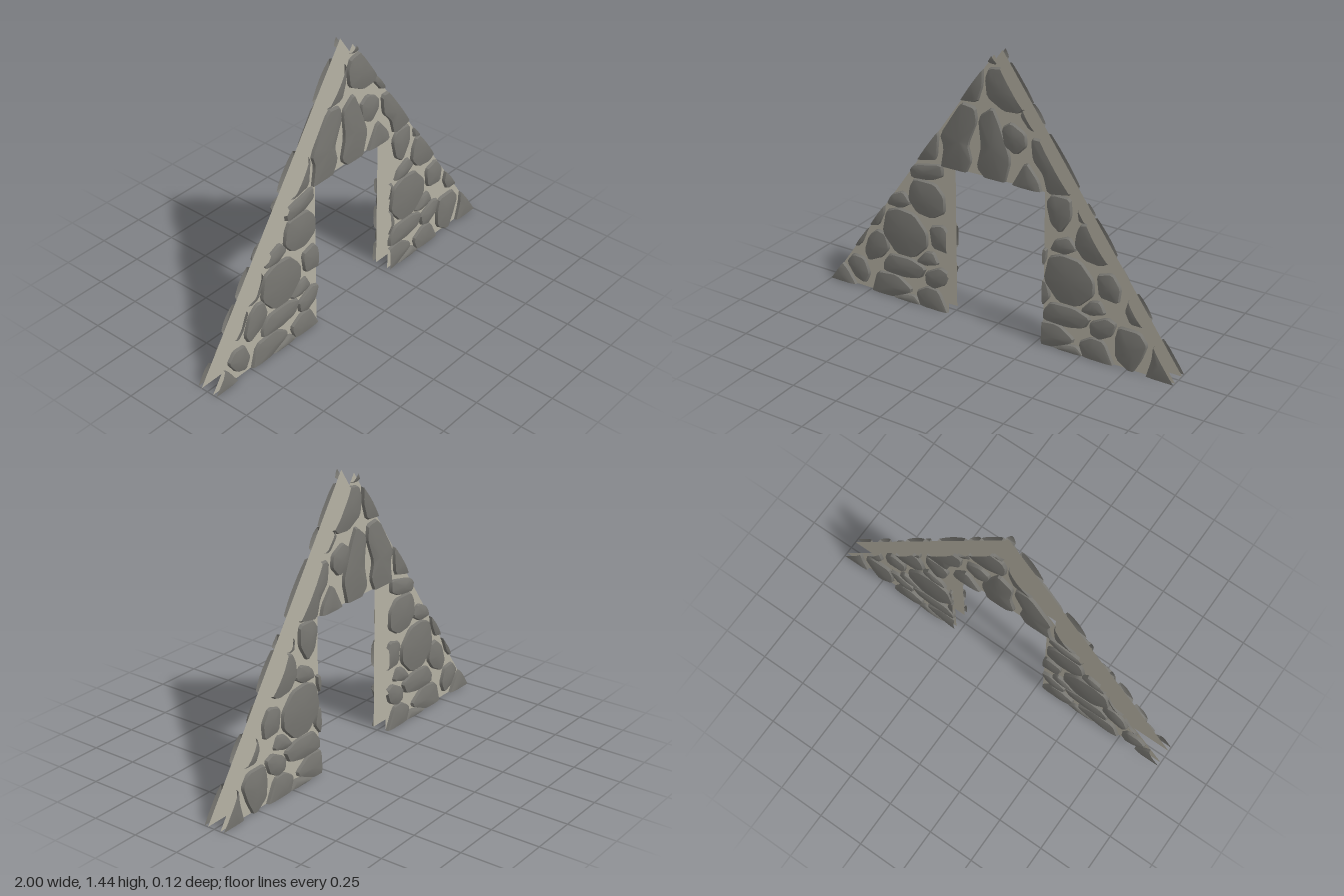
import * as THREE from 'three';
import { toCreasedNormals } from 'three/addons/utils/BufferGeometryUtils.js';

// Plan grid: the wall is 373 grid units wide and 268 high, x from its right corner, y from the ground
const W = 373, H = 268, U = 2 / W;
const DOOR = { x0: 136, x1: 239, top: 151 };
const REPEAT = 177; // the leg stonework repeats at this spacing
const SHEET_Z = 0.037;

const mortar = new THREE.MeshStandardMaterial({ color: 0xb5b1a3, side: THREE.DoubleSide });
mortar.name = 'mortar';
const stone = new THREE.MeshStandardMaterial({ color: 0x777671, side: THREE.DoubleSide });
stone.name = 'stone';

// Stone outlines as x, y pairs
const lowStones = [
  [62, 34, 70, 45, 95, 46, 112, 40, 106, 28, 88, 24, 62, 25],
  [110, 36, 128, 46, 138, 42, 133, 28, 121, 21, 111, 24],
  [46, -6, 54, 22, 78, 25, 95, 14, 94, 9, 68, -3],
  [106, -6, 99, 13, 113, 22, 126, 21, 139, -6],
  [70, -2, 82, 5, 98, 8, 108, -2],
  [18, 23, 26, 33, 40, 32, 46, 16, 40, 4, 28, 8],
  [-12, -8, 4, 27, 19, 15, 34, -8],
  [136, 28, 139, 41, 161, 41, 169, 30, 163, 13, 154, -4, 137, 8],
  [166, -8, 173, 18, 174, 32, 182, 32, 210, -8],
];
const middleStones = [
  [67, 90, 81, 96, 100, 94, 114, 78, 114, 63, 98, 47, 78, 47, 62, 66],
  [116, 86, 132, 91, 141, 78, 139, 62, 119, 64],
  [100, 45, 111, 58, 121, 60, 127, 48, 112, 43],
  [40, 40, 46, 58, 56, 67, 66, 65, 70, 50, 61, 38, 45, 30],
  [22, 48, 31, 41, 38, 48, 43, 60, 46, 66, 36, 72],
  [44, 68, 58, 71, 65, 86, 66, 98, 50, 92],
  [145, 58, 148, 70, 159, 66, 168, 46, 151, 46],
];
const highStones = [
  [95, 122, 100, 131, 124, 131, 134, 120, 134, 103, 120, 94, 103, 96, 93, 108],
  [95, 142, 104, 146, 132, 152, 133, 140, 120, 133, 97, 131],
  [68, 97, 73, 108, 88, 115, 97, 104, 85, 96],
  [64, 143, 70, 152, 89, 152, 90, 133, 79, 115, 69, 123],
  [98, 150, 116, 186, 129, 184, 126, 155, 110, 151],
];
const archStones = [
  [130, 146, 134, 170, 130, 182, 153, 218, 168, 216, 170, 203, 160, 178, 164, 163, 156, 146],
  [171, 208, 186, 220, 192, 208, 198, 193, 205, 173, 198, 147, 180, 147, 169, 158, 174, 180],
  [195, 203, 205, 210, 220, 202, 221, 190, 210, 179, 198, 186],
  [202, 144, 220, 177, 234, 160, 238, 144],
  [225, 200, 240, 200, 274, 170, 266, 154, 243, 150, 238, 168, 227, 180],
  [178, 246, 182, 256, 202, 259, 224, 230, 213, 219, 198, 218, 180, 228],
  [144, 218, 160, 254, 176, 258, 176, 238, 170, 220],
  [172, 264, 187, 280, 202, 264, 187, 259],
  [214, 218, 216, 224, 228, 230, 242, 206, 224, 206],
];

// Cutting planes a*x + b*y + c >= 0 that trim stones to the wall
const gable = [[0, 1, 0], [H, -W / 2, 0], [-H, -W / 2, H * W]];
const regions = {
  leftOfDoor: [...gable, [-1, 0, DOOR.x0]],
  rightOfDoor: [...gable, [1, 0, -DOOR.x1]],
  aboveDoor: [...gable, [0, 1, -DOOR.top]],
};

function clip(poly, [a, b, c]) {
  const out = [];
  const dist = (p) => a * p.x + b * p.y + c;
  poly.forEach((p, i) => {
    const q = poly[(i + 1) % poly.length], dp = dist(p), dq = dist(q);
    if (dp >= 0) out.push(p);
    if ((dp > 0 && dq < 0) || (dp < 0 && dq > 0)) out.push(p.clone().lerp(q, dp / (dp - dq)));
  });
  return out;
}

// Counter-clockwise outline with its corners cut once
function softOutline(flat, shift) {
  const pts = [];
  for (let i = 0; i < flat.length; i += 2) pts.push(new THREE.Vector2(flat[i] + shift, flat[i + 1]));
  if (THREE.ShapeUtils.area(pts) < 0) pts.reverse();
  return pts.flatMap((p, i) => {
    const q = pts[(i + 1) % pts.length];
    return [p.clone().lerp(q, 0.14), p.clone().lerp(q, 0.86)];
  });
}

// Domed stone with steep sides, trimmed by planes and left open where it is cut
function stoneGeometry(flat, shift, planes, side) {
  const outline = softOutline(flat, shift);
  const n = outline.length;
  const centre = outline.reduce((s, p) => s.add(p), new THREE.Vector2()).divideScalar(n);
  const radius = outline.reduce((s, p) => s + p.distanceTo(centre), 0) / n;
  const ring = (k, z) => outline.map((p) => {
    const q = centre.clone().lerp(p, k);
    return new THREE.Vector3(q.x, q.y, z);
  });
  const rim = 1 - 1.1 / radius;
  const dome = [1, 0.8, 0.45, 0].map((k) => ring(rim * k, 0.0525 + 0.0095 * (1 - k * k)));
  const rings = [ring(1, SHEET_Z), ...dome];
  const positions = [];
  const emit = (face) => {
    const cut = planes.reduce((poly, plane) => clip(poly, plane), face);
    for (let i = 1; i + 1 < cut.length; i++) {
      const tri = side > 0 ? [cut[0], cut[i], cut[i + 1]] : [cut[0], cut[i + 1], cut[i]];
      tri.forEach((v) => positions.push((v.x - W / 2) * U, v.y * U, v.z * side));
    }
  };
  for (let r = 0; r + 1 < rings.length; r++) {
    for (let i = 0; i < n; i++) {
      const j = (i + 1) % n;
      emit([rings[r][i], rings[r][j], rings[r + 1][j]]);
      if (r + 2 < rings.length) emit([rings[r][i], rings[r + 1][j], rings[r + 1][i]]);
    }
  }
  if (!positions.length) return null;
  const geo = new THREE.BufferGeometry();
  geo.setAttribute('position', new THREE.Float32BufferAttribute(positions, 3));
  return toCreasedNormals(geo, 0.6);
}

function addStones(group, name, list, shift, planes, side) {
  for (const flat of list) {
    const geo = stoneGeometry(flat, shift, planes, side);
    if (!geo) continue;
    const mesh = new THREE.Mesh(geo, stone);
    mesh.name = name;
    group.add(mesh);
  }
}

// Thin triangular sheet with the doorway cut from its base
function mortarSheet(side) {
  const corners = [[0, 0], [DOOR.x0, 0], [DOOR.x0, DOOR.top], [DOOR.x1, DOOR.top], [DOOR.x1, 0], [W, 0], [W / 2, H]];
  // the back sheet is drawn mirrored, then turned to face backwards
  const shape = new THREE.Shape(corners.map(([x, y]) => new THREE.Vector2((x - W / 2) * U * side, y * U)));
  const geo = new THREE.ShapeGeometry(shape);
  if (side < 0) geo.rotateY(Math.PI);
  geo.translate(0, 0, side * SHEET_Z);
  const mesh = new THREE.Mesh(geo, mortar);
  mesh.name = 'mortarSheet';
  return mesh;
}

export function createModel() {
  const model = new THREE.Group();
  model.name = 'stoneGableWall';
  for (const side of [1, -1]) {
    const wall = new THREE.Group();
    wall.name = side > 0 ? 'frontWall' : 'backWall';
    wall.add(mortarSheet(side));
    for (const list of [lowStones, middleStones, highStones]) {
      addStones(wall, 'rightLegStone', list, 0, regions.leftOfDoor, side);
      addStones(wall, 'leftLegStone', list, REPEAT, regions.rightOfDoor, side);
    }
    addStones(wall, 'archStone', archStones, 0, regions.aboveDoor, side);
    model.add(wall);
  }
  return model;
}
